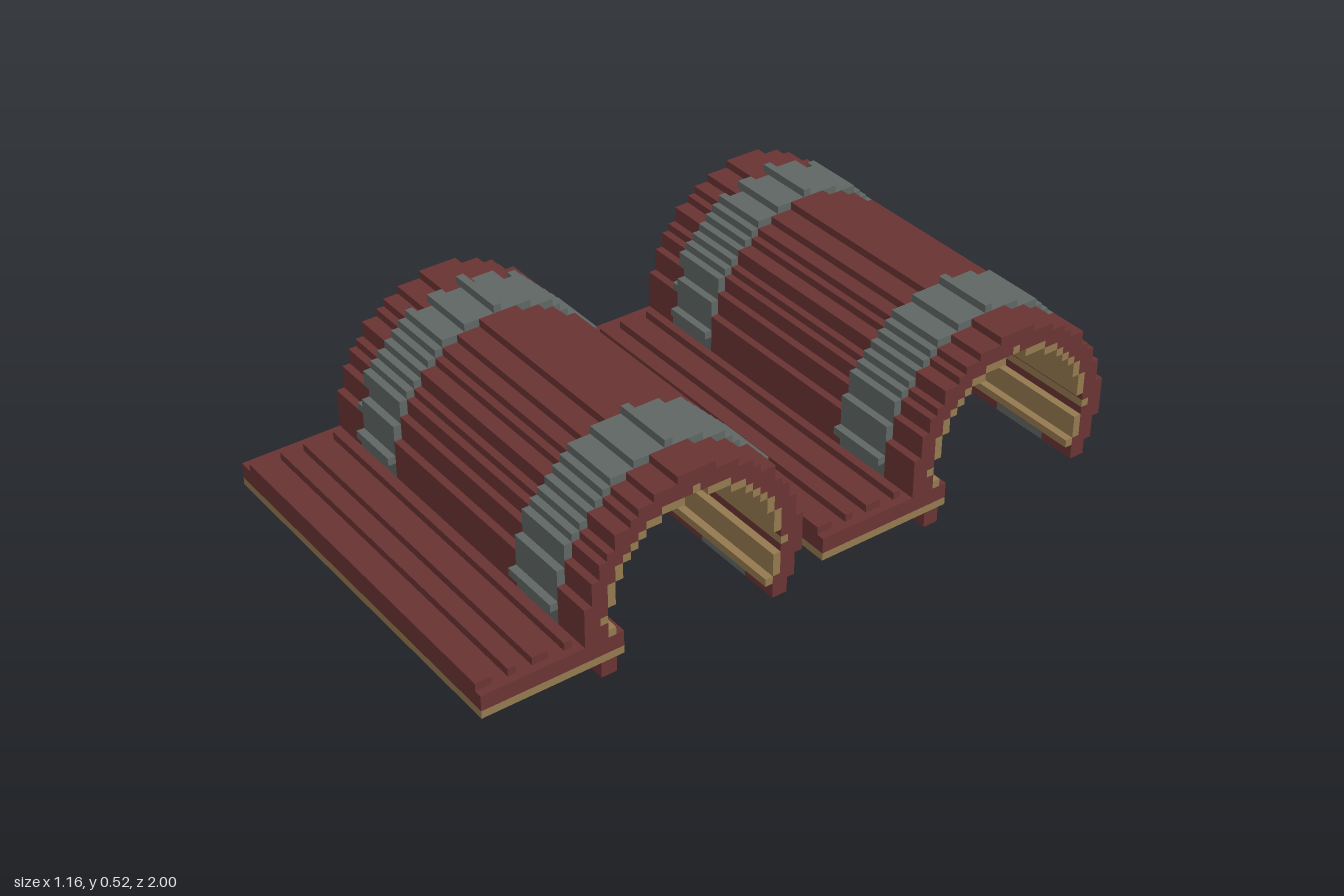
import * as THREE from 'three';
import { mergeGeometries } from 'three/addons/utils/BufferGeometryUtils.js';

// Grid: 51 cells wide (x), 23 high (y), 88 deep (z, counted from the front)
const S = 2 / 88;
const WIDTH = 51;

const material = (name, color) => {
  const m = new THREE.MeshStandardMaterial({ color });
  m.name = name;
  return m;
};

// Box covering cells x0..x1, y0..y1, z0..z1 (end exclusive)
function block(x0, x1, y0, y1, z0, z1) {
  const g = new THREE.BoxGeometry((x1 - x0) * S, (y1 - y0) * S, (z1 - z0) * S);
  g.translate(((x0 + x1) / 2 - WIDTH / 2) * S, ((y0 + y1) / 2) * S, 1 - ((z0 + z1) / 2) * S);
  return g;
}

// Stepped bars along x, one for every run of cells in the z-y section that passes the test
function bars(x0, x1, test) {
  const list = [];
  for (let y = 0; y < 23; y++) {
    let start = -1;
    for (let z = 0; z <= 44; z++) {
      const on = z < 44 && test(z, y);
      if (on && start < 0) start = z;
      if (!on && start >= 0) {
        list.push(block(x0, x1, y, y + 1, start, z));
        start = -1;
      }
    }
  }
  return list;
}

// Arch section: squared distance from the arch centre
const CZ = 27, CY = 7;
const dist = (z, y) => (z - CZ) ** 2 + (y - CY) ** 2;
const inBoard = (z, y) => z < 18 && y >= 2 && y <= 4;
const present = (z, y) => !inBoard(z, y) && (y > 1 || Math.abs(z - CZ) > 10);
const lining = (z, y) => present(z, y) && dist(z, y) >= 125 && dist(z, y) <= 144;
const core = (z, y) => present(z, y) && dist(z, y) > 144 && dist(z, y) < 170;
const skin = (z, y) => present(z, y) && dist(z, y) >= 170 && dist(z, y) <= 200;

// Worn cells along the outer edge of one strap
const worn = (z, y) => (z < 17 && [6, 7, 8, 9, 11, 12].includes(y))
  || (y > 18 && [21, 22, 25, 26, 28, 32, 33].includes(z));

export function createModel() {
  const red = material('dark red', 0x6b3434);
  const grey = material('steel grey', 0x616866);
  const tan = material('tan wood', 0x967b50);
  const model = new THREE.Group();
  model.name = 'archedSections';

  const add = (group, name, list, mat) => {
    const mesh = new THREE.Mesh(mergeGeometries(list), mat);
    mesh.name = name;
    group.add(mesh);
  };

  for (const [name, offset] of [['frontSection', 0], ['rearSection', 45]]) {
    const section = new THREE.Group();
    section.name = name;
    section.position.z = -offset * S;
    model.add(section);

    // Strap section, with single raised cells at the top and sides
    const strap = (z, y) => {
      if (!present(z, y)) return false;
      const d = dist(z, y);
      const rivet = d === 225 && (z === CZ || y === CY) && (z <= CZ || offset > 0);
      return (d >= 170 && d <= 218) || rivet;
    };

    // Flat board with ribs
    add(section, 'boardUnderside', [block(0, WIDTH, 2, 3, 0, 18)], tan);
    add(section, 'board', [block(0, WIDTH, 3, 5, 0, 18)], red);
    add(section, 'boardRibs', [[0, 2], [4, 5], [7, 9], [11, 12]]
      .map(([a, b]) => block(2, 50, 5, 6, a, b)), red);

    // Arch shell; the bottom row is one cell short at one end
    const first = (test) => bars(0, 1, (z, y) => y > 0 && test(z, y));
    add(section, 'archLining', [...first(lining), ...bars(1, WIDTH, lining)], tan);
    add(section, 'archCore', [...first(core), ...bars(1, WIDTH, core)], red);
    add(section, 'archSkin', [
      ...first(skin),
      ...bars(1, 5, skin),
      ...bars(5, 6, (z, y) => skin(z, y) && worn(z, y)),
      ...bars(13, 38, skin),
      ...bars(46, WIDTH, skin),
    ], red);

    // Metal straps around the arch
    add(section, 'rightStrap', [
      ...bars(5, 6, (z, y) => strap(z, y) && !worn(z, y)),
      ...bars(6, 13, strap),
    ], grey);
    add(section, 'leftStrap', bars(38, 46, strap), grey);
  }
  return model;
}
